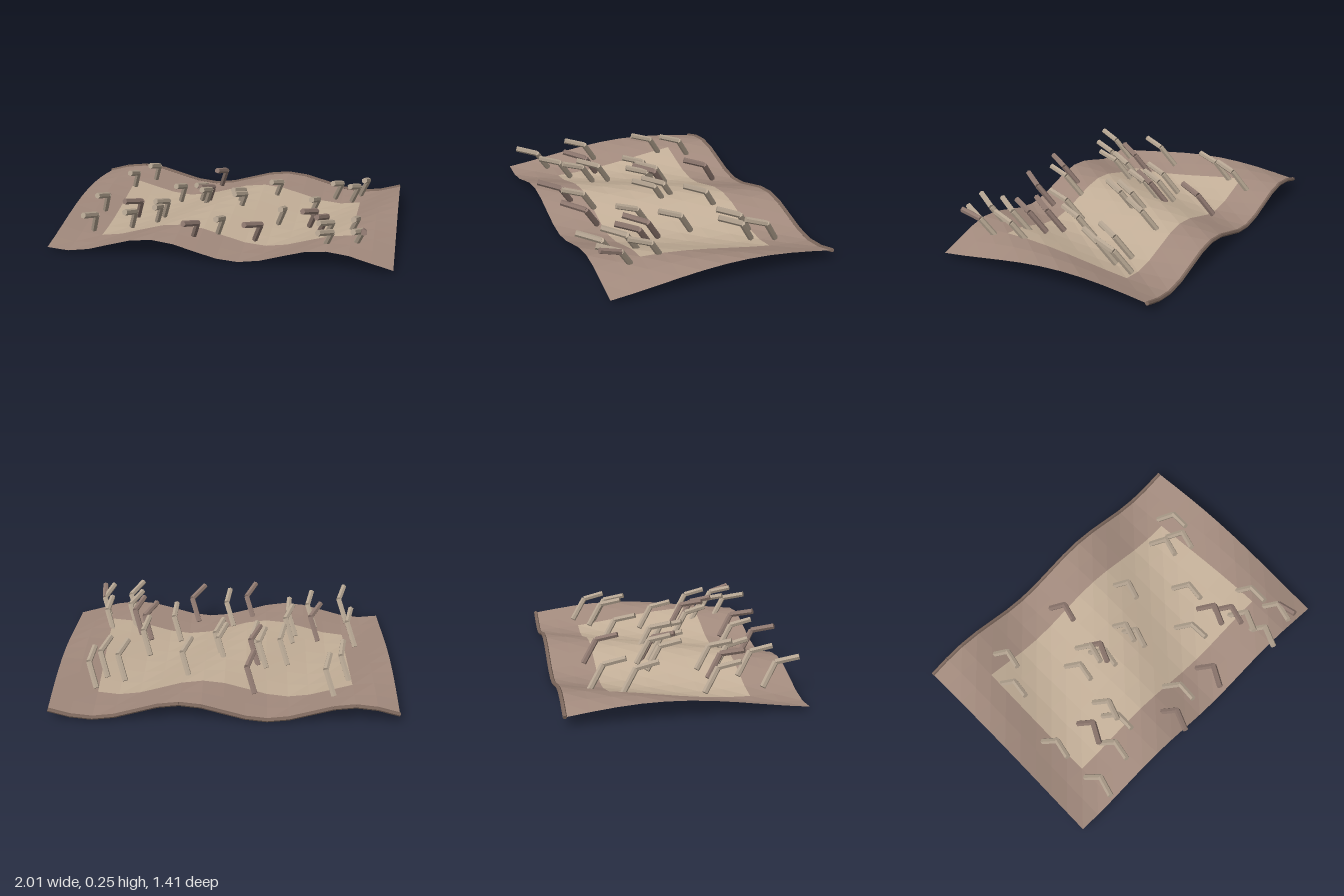
import * as THREE from 'three';

const COLS = 16, ROWS = 10, DEPTH = 1.34, BACK = -0.69;

// height of the rippled sheet
const height = (x, z) =>
  0.07 + 0.05 * Math.sin(2 * Math.PI * x + 4 * (z - BACK) / DEPTH);

const material = (name, color) => {
  const m = new THREE.MeshStandardMaterial({ color });
  m.name = name;
  return m;
};

function faceted(geometry) {
  const g = geometry.index ? geometry.toNonIndexed() : geometry;
  g.computeVertexNormals();
  return g;
}

// straight rod between two points
function rod(name, a, b, radius, sides, mat) {
  const dir = b.clone().sub(a);
  const mesh = new THREE.Mesh(
    faceted(new THREE.CylinderGeometry(radius, radius, dir.length(), sides)), mat);
  mesh.name = name;
  mesh.position.copy(a).add(b).multiplyScalar(0.5);
  mesh.quaternion.setFromUnitVectors(new THREE.Vector3(0, 1, 0), dir.normalize());
  return mesh;
}

// part of the rippled sheet: the cells for which keep(col, row) is true
function sheetPart(name, keep, mat) {
  const g = new THREE.PlaneGeometry(2, DEPTH, COLS, ROWS);
  g.rotateX(-Math.PI / 2).translate(0, 0, BACK + DEPTH / 2);
  const p = g.attributes.position;
  for (let i = 0; i < p.count; i++) p.setY(i, height(p.getX(i), p.getZ(i)));
  const all = g.index.array, index = [];
  for (let r = 0; r < ROWS; r++)
    for (let c = 0; c < COLS; c++)
      if (keep(c, r)) index.push(...all.slice((r * COLS + c) * 6, (r * COLS + c) * 6 + 6));
  g.setIndex(index);
  const mesh = new THREE.Mesh(faceted(g), mat);
  mesh.name = name;
  return mesh;
}

// bend x, bend z, sideways reach of the tip, 1 = dark
const STRANDS = [
  [-0.59, -0.43, -0.03, 0], [-0.69, -0.26, -0.02, 0], [-0.13, -0.41, -0.04, 1],
  [0.26, -0.24, -0.05, 0], [0.64, -0.28, -0.05, 0], [0.80, -0.37, -0.02, 0],
  [0.75, -0.24, -0.05, 0], [-0.33, -0.06, -0.03, 0], [-0.20, -0.10, -0.04, 0],
  [-0.15, -0.07, -0.06, 1], [-0.16, -0.02, -0.03, 0], [0.05, -0.05, -0.05, 0],
  [0.07, 0.02, -0.05, 0], [0.52, 0.04, -0.03, 0], [-0.76, 0.19, -0.03, 0],
  [-0.53, 0.26, -0.07, 1], [-0.37, 0.23, -0.05, 0], [-0.39, 0.33, -0.01, 0],
  [-0.52, 0.44, -0.03, 0], [0.34, 0.24, -0.01, 0], [0.53, 0.25, -0.07, 1],
  [0.60, 0.33, -0.05, 1], [0.64, 0.42, -0.07, 0], [0.78, 0.33, -0.02, 0],
  [-0.73, 0.53, -0.04, 0], [-0.12, 0.56, -0.06, 1], [0.01, 0.46, -0.02, 0],
  [0.24, 0.52, -0.08, 1], [0.65, 0.57, -0.07, 0], [0.82, 0.52, -0.05, 0],
  [0.82, 0.52, 0.01, 1],
];

export function createModel() {
  const group = new THREE.Group();
  const border = material('border brown', 0xa28a7d);
  const centre = material('centre tan', 0xc3af98);
  const trim = material('trim brown', 0x7d685d);
  const light = material('strand tan', 0xb5a592);
  const dark = material('strand brown', 0x8f7970);
  border.side = centre.side = THREE.DoubleSide;

  // sheet: pale middle inside a border two cells wide
  const inner = (c, r) => c >= 2 && c < COLS - 2 && r >= 2 && r < ROWS - 2;
  group.add(sheetPart('sheetCentre', inner, centre));
  group.add(sheetPart('sheetBorder', (c, r) => !inner(c, r), border));

  // rolled hem along the back edge
  const hem = new THREE.Group();
  hem.name = 'backHem';
  const edge = (i) => {
    const x = -1 + (2 * i) / COLS;
    return new THREE.Vector3(x, height(x, BACK), BACK);
  };
  for (let i = 0; i < COLS; i++) hem.add(rod('hemSegment', edge(i), edge(i + 1), 0.012, 6, trim));
  group.add(hem);

  // bent strands, all leaning the same way
  for (const [x, z, reach, isDark] of STRANDS) {
    const mat = isDark ? dark : light;
    const strand = new THREE.Group();
    strand.name = 'strand';
    const foot = new THREE.Vector3(x - 0.048, 0.08, z - 0.085);
    const bend = new THREE.Vector3(x, 0.208, z);
    const tip = new THREE.Vector3(x + reach, 0.245, z + 0.125);
    strand.add(rod('strandStem', foot, bend, 0.018, 6, mat));
    strand.add(rod('strandTip', bend, tip, 0.018, 6, mat));
    group.add(strand);
  }
  return group;
}
